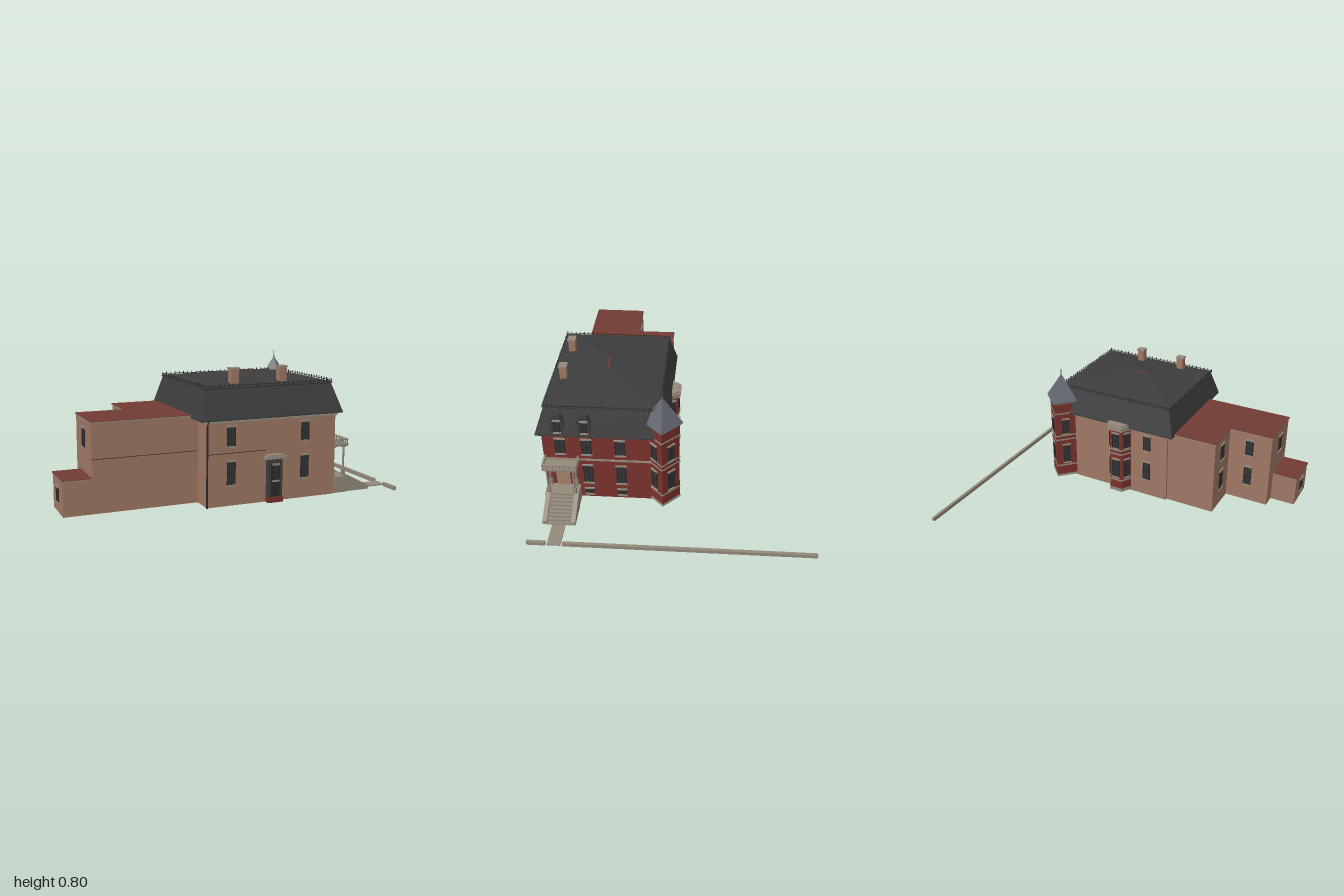
import * as THREE from 'three';

const mat = (name, color, side = THREE.FrontSide) => {
  const m = new THREE.MeshStandardMaterial({ color, side, flatShading: true });
  m.name = name;
  return m;
};
const M = {
  tan: mat('tanRender', 0xa07864, THREE.DoubleSide),
  brick: mat('redBrick', 0x7a322d, THREE.DoubleSide),
  redRoof: mat('redRoof', 0x723a34),
  roof: mat('darkRoof', 0x3d3d3d, THREE.DoubleSide),
  slate: mat('towerSlate', 0x636771, THREE.DoubleSide),
  stone: mat('stone', 0x93897a),
  glass: mat('darkGlass', 0x343537),
  door: mat('doorWood', 0xa88266),
  iron: mat('iron', 0x29292a),
};

export function createModel() {
  const root = new THREE.Group();
  root.name = 'mansardHouse';

  const add = (name, geo, material, parent = root) => {
    const m = new THREE.Mesh(geo, material);
    m.name = name;
    parent.add(m);
    return m;
  };
  const box = (name, material, x0, x1, y0, y1, z0, z1, parent = root) => {
    const g = new THREE.BoxGeometry(x1 - x0, y1 - y0, z1 - z0);
    g.translate((x0 + x1) / 2, (y0 + y1) / 2, (z0 + z1) / 2);
    return add(name, g, material, parent);
  };
  // Walls without a floor; materials are listed +x, -x, +y, -y, +z, -z
  const shell = (name, mats, ...b) => {
    const m = box(name, mats, ...b);
    m.geometry.groups = m.geometry.groups.filter((g) => g.materialIndex !== 3);
    return m;
  };
  // Upright prism over an [x, z] footprint
  const prism = (name, material, pts, y0, y1) => {
    const s = new THREE.Shape(pts.map(([x, z]) => new THREE.Vector2(x, -z)));
    const g = new THREE.ExtrudeGeometry(s, { depth: y1 - y0, bevelEnabled: false });
    g.rotateX(-Math.PI / 2).translate(0, y0, 0);
    return add(name, g, material);
  };
  // Skin through stacked rectangles [x0, x1, z0, z1, y]
  const loft = (name, material, rings) => {
    const p = [];
    const loops = rings.map(([a, b, c, d, y]) => [[a, y, d], [b, y, d], [b, y, c], [a, y, c]]);
    for (let r = 0; r + 1 < loops.length; r++) {
      for (let i = 0; i < 4; i++) {
        const j = (i + 1) % 4, lo = loops[r], hi = loops[r + 1];
        p.push(...lo[i], ...lo[j], ...hi[j], ...lo[i], ...hi[j], ...hi[i]);
      }
    }
    const g = new THREE.BufferGeometry();
    g.setAttribute('position', new THREE.Float32BufferAttribute(p, 3));
    g.computeVertexNormals();
    return add(name, g, material);
  };
  // Sash window facing local +z, turned by ry
  const sash = (x, y0, y1, z, ry, w = 0.05, trim = true) => {
    const g = new THREE.Group();
    g.name = 'window';
    const h = y1 - y0, a = w / 2;
    box('pane', M.glass, -a, a, 0, h, -0.002, 0.002, g);
    for (const s of [-1, 1]) {
      const e = s * (a - 0.002);
      box('jamb', M.iron, e - 0.003, e + 0.003, 0, h, 0, 0.005, g);
    }
    box('meetingRail', M.iron, -a, a, h / 2 - 0.003, h / 2 + 0.003, 0, 0.004, g);
    box('mullion', M.iron, -0.0015, 0.0015, 0, h, 0, 0.004, g);
    if (trim) {
      box('lintel', M.stone, -a - 0.005, a + 0.005, h, h + 0.01, 0, 0.008, g);
      box('sill', M.stone, -a - 0.005, a + 0.005, -0.009, 0, 0, 0.01, g);
    }
    g.position.set(x, y0, z);
    g.rotation.y = ry;
    root.add(g);
  };
  const floors = [[0.13, 0.26], [0.35, 0.455]];
  const R = Math.PI / 2;

  // Main block and rear wings
  const T = M.tan;
  shell('mainWalls', [M.brick, T, T, T, T, T], -0.225, 0.585, 0.01, 0.495, 0.075, 0.785);
  const wings = [
    ['innerWing', -0.55, -0.225, 0.505, 0.09, 0.655],
    ['outerWing', -0.835, -0.55, 0.505, 0.335, 0.655],
    ['lowWing', -0.995, -0.835, 0.2, 0.425, 0.655],
  ];
  for (const [n, x0, x1, h, z0, z1] of wings) {
    shell(n + 'Walls', [T, T, T, T, T, T], x0, x1, 0.01, h, z0, z1);
    box(n + 'Edge', M.stone, x0 - 0.005, x1, h, h + 0.007, z0 - 0.005, z1 + 0.005);
    box(n + 'Roof', M.redRoof, x0 - 0.005, x1, h + 0.007, h + 0.01, z0 - 0.005, z1 + 0.005);
  }
  box('frontBand', M.iron, -0.225, 0.135, 0.308, 0.311, 0.784, 0.787);
  box('wingBand', M.iron, -0.835, -0.225, 0.308, 0.311, 0.654, 0.657);

  // Mansard roof, soffit first, ending at the ridge
  loft('mansardRoof', M.roof, [
    [-0.225, 0.585, 0.075, 0.785, 0.497], [-0.27, 0.615, 0.045, 0.815, 0.497],
    [-0.27, 0.615, 0.045, 0.815, 0.505], [-0.225, 0.565, 0.092, 0.76, 0.665],
    [-0.23, 0.57, 0.087, 0.765, 0.668], [-0.23, 0.57, 0.087, 0.765, 0.674],
    [0.1, 0.23, 0.428, 0.428, 0.726],
  ]);
  box('ridgeCap', M.redRoof, 0.1, 0.23, 0.722, 0.728, 0.422, 0.434);
  box('cornice', M.stone, -0.232, 0.595, 0.48, 0.49, 0.068, 0.793);
  for (const x of [-0.025, 0.277]) {
    box('chimney', M.tan, x - 0.023, x + 0.023, 0.66, 0.762, 0.668, 0.71);
    box('chimneyCap', M.stone, x - 0.027, x + 0.027, 0.762, 0.772, 0.664, 0.714);
  }

  // Iron cresting round the roof edge
  const crest = (x0, z0, x1, z1) => {
    const n = Math.round(Math.hypot(x1 - x0, z1 - z0) / 0.028);
    for (let i = 0; i < n; i++) {
      const x = x0 + ((x1 - x0) * i) / n, z = z0 + ((z1 - z0) * i) / n;
      box('crestSpike', M.iron, x - 0.0015, x + 0.0015, 0.67, 0.692, z - 0.0015, z + 0.0015);
    }
    box('crestRail', M.iron, Math.min(x0, x1) - 0.001, Math.max(x0, x1) + 0.001, 0.68, 0.683,
      Math.min(z0, z1) - 0.001, Math.max(z0, z1) + 0.001);
  };
  crest(-0.228, 0.762, 0.568, 0.762);
  crest(0.568, 0.762, 0.568, 0.09);
  crest(0.568, 0.09, -0.228, 0.09);
  crest(-0.228, 0.09, -0.228, 0.762);

  // Dormers on the entrance side
  for (const z of [0.68, 0.523]) {
    const s = new THREE.Shape([[-0.036, 0.515], [0.036, 0.515], [0.042, 0.605], [0.018, 0.642],
      [-0.018, 0.642], [-0.042, 0.605]].map(([a, b]) => new THREE.Vector2(a, b)));
    const g = new THREE.ExtrudeGeometry(s, { depth: 0.075, bevelEnabled: false });
    g.rotateY(R).translate(0.535, 0, z);
    add('dormer', g, M.roof);
    sash(0.611, 0.53, 0.605, z, R, 0.036);
  }

  // Windows of the main walls and wings
  for (const [a, b] of floors) {
    for (const x of [-0.08, 0.385]) sash(x, a, b, 0.786, 0);
    for (const z of [0.525, 0.325]) sash(0.586, a, b, z, R, 0.058);
    sash(-0.08, a, b, 0.074, Math.PI);
    sash(-0.551, a, b, 0.21, -R);
    sash(-0.69, a, b, 0.334, Math.PI);
  }
  sash(0.586, 0.35, 0.455, 0.68, R, 0.058);
  sash(-0.836, 0.35, 0.455, 0.5, -R);
  sash(-0.996, 0.07, 0.15, 0.54, -R);
  for (const z of [0.525, 0.325]) sash(0.586, 0.038, 0.075, z, R, 0.05);
  box('beltCourse', M.stone, 0.58, 0.591, 0.3, 0.312, 0.14, 0.785);

  // Corner tower, a square turned by 45 degrees
  const tx = 0.56, tz = 0.073;
  const ring = (name, m, r0, r1, y0, y1, open = false) => {
    const g = new THREE.CylinderGeometry(r1, r0, y1 - y0, 4, 1, open);
    g.translate(tx, (y0 + y1) / 2, tz);
    return add(name, g, m);
  };
  ring('towerWalls', M.brick, 0.097, 0.097, 0.02, 0.59, true);
  ring('towerBase', M.stone, 0.102, 0.1, 0.02, 0.034);
  for (const y of [0.1, 0.3, 0.33, 0.498]) ring('towerBelt', M.stone, 0.101, 0.101, y, y + 0.009);
  ring('towerCornice', M.stone, 0.102, 0.114, 0.572, 0.59);
  ring('towerRoof', M.slate, 0.12, 0.001, 0.59, 0.762);
  add('towerFinial', new THREE.CylinderGeometry(0.0015, 0.004, 0.05, 6).translate(tx, 0.775, tz), M.slate);
  for (const k of [1, 3, 5]) {
    const a = (k * Math.PI) / 4, d = 0.0695;
    for (const [y0, y1] of floors) sash(tx + Math.sin(a) * d, y0, y1, tz + Math.cos(a) * d, a, 0.046);
  }

  // Bay window at the back
  const bay = (o) => [[0.035 - o, 0.08], [0.2 + o, 0.08], [0.16 + o / 2, 0.012 - o], [0.075 - o / 2, 0.012 - o]];
  prism('bayWalls', M.brick, bay(0), 0.02, 0.49);
  prism('bayBase', M.stone, bay(0.005), 0.02, 0.04);
  for (const y of [0.1, 0.3, 0.33, 0.475]) prism('bayBelt', M.stone, bay(0.004), y, y + 0.009);
  prism('bayHood', M.stone, bay(0.016), 0.49, 0.512);
  prism('bayHoodTop', M.stone, bay(0.004), 0.512, 0.522);
  for (const [a, b] of floors) {
    sash(0.1175, a, b, 0.011, Math.PI, 0.05);
    for (const s of [-1, 1]) {
      sash(0.1175 + s * 0.0633, a, b, 0.0455, s * (R + 0.53), 0.038);
    }
  }

  // Front vestibule
  box('vestibuleBase', M.brick, 0.135, 0.23, 0.01, 0.04, 0.78, 0.822);
  box('vestibule', M.roof, 0.138, 0.227, 0.04, 0.262, 0.78, 0.815);
  box('vestibuleHood', M.stone, 0.118, 0.247, 0.262, 0.274, 0.78, 0.83);
  box('vestibuleHoodTop', M.stone, 0.133, 0.232, 0.274, 0.285, 0.78, 0.82);
  box('vestibuleDoor', M.iron, 0.155, 0.21, 0.045, 0.235, 0.814, 0.818);
  sash(0.1825, 0.14, 0.225, 0.818, 0, 0.036);

  // Entrance porch with columns and balustraded roof
  box('porchBase', M.stone, 0.585, 0.68, 0.01, 0.106, 0.578, 0.78);
  box('entranceSurround', M.stone, 0.58, 0.589, 0.106, 0.26, 0.638, 0.722);
  box('entranceDoor', M.door, 0.58, 0.592, 0.106, 0.245, 0.65, 0.71);
  for (const z of [0.6, 0.757]) {
    for (const x of [0.598, 0.667]) {
      add('column', new THREE.CylinderGeometry(0.006, 0.007, 0.19, 10).translate(x, 0.2, z), M.stone);
      box('columnFoot', M.stone, x - 0.01, x + 0.01, 0.106, 0.15, z - 0.01, z + 0.01);
      box('capital', M.stone, x - 0.01, x + 0.01, 0.278, 0.29, z - 0.01, z + 0.01);
    }
  }
  box('porchRoof', M.stone, 0.585, 0.684, 0.288, 0.302, 0.575, 0.78);
  box('porchRailFront', M.stone, 0.674, 0.684, 0.324, 0.332, 0.575, 0.78);
  for (const z of [0.575, 0.77]) box('porchRailSide', M.stone, 0.585, 0.684, 0.324, 0.332, z, z + 0.01);
  for (let i = 0; i <= 10; i++) {
    const z = 0.58 + i * 0.0195;
    box('baluster', M.stone, 0.676, 0.682, 0.302, 0.324, z - 0.003, z + 0.003);
    if (i < 5) for (const e of [0.58, 0.775]) {
      const x = 0.595 + i * 0.018;
      box('baluster', M.stone, x - 0.003, x + 0.003, 0.302, 0.324, e - 0.003, e + 0.003);
    }
  }

  // Steps between sloping cheek walls, then the path and kerb
  for (let i = 0; i < 8; i++) {
    box('step', M.stone, 0.68 + i * 0.02, 0.7 + i * 0.02, 0.008, 0.097 - i * 0.0115, 0.6, 0.748);
  }
  for (const z of [0.575, 0.745]) {
    const s = new THREE.Shape([[0.68, 0.01], [0.84, 0.01], [0.84, 0.033], [0.68, 0.116]]
      .map(([a, b]) => new THREE.Vector2(a, b)));
    add('stairCheek', new THREE.ExtrudeGeometry(s, { depth: 0.027, bevelEnabled: false }).translate(0, 0, z), M.stone);
  }
  box('path', M.stone, 0.84, 1, 0.003, 0.01, 0.635, 0.715);
  box('kerbLong', M.stone, 0.982, 1, 0, 0.023, -0.835, 0.625);
  box('kerbShort', M.stone, 0.982, 1, 0, 0.023, 0.725, 0.835);

  // Gutter downpipe on the front corner
  box('downpipe', M.iron, -0.23, -0.222, 0.01, 0.47, 0.787, 0.795);
  const bend = new THREE.LineCurve3(new THREE.Vector3(-0.226, 0.468, 0.791), new THREE.Vector3(-0.226, 0.5, 0.812));
  add('downpipeBend', new THREE.TubeGeometry(bend, 1, 0.004, 6), M.iron);

  return root;
}
